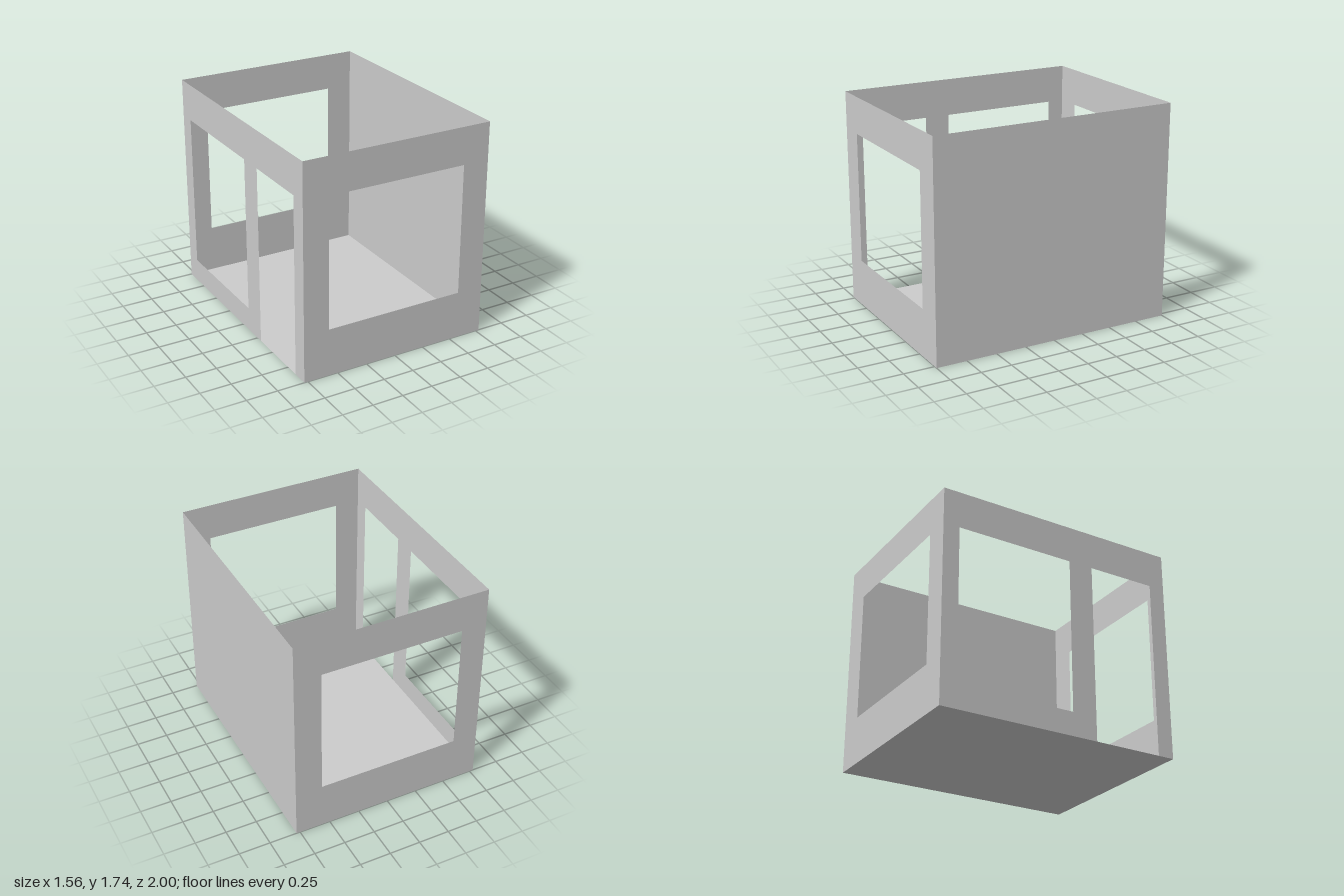
import * as THREE from 'three';

const W = 0.78, D = 1, H = 1.74; // half width, half depth, height
const HEAD = 1.44;               // top of all openings

const material = new THREE.MeshStandardMaterial({ color: 0xcccccc, side: THREE.DoubleSide });

const polygon = (points) => points.map(([x, y]) => new THREE.Vector2(x, y));
const rect = (x0, y0, x1, y1) => [[x0, y0], [x1, y0], [x1, y1], [x0, y1]];

// Flat sheet cut from an outline, with optional openings
function panel(name, outline, openings = []) {
  const shape = new THREE.Shape(polygon(outline));
  for (const o of openings) shape.holes.push(new THREE.Path(polygon(o)));
  const mesh = new THREE.Mesh(new THREE.ShapeGeometry(shape), material);
  mesh.name = name;
  return mesh;
}

export function createModel() {
  const room = new THREE.Group();
  room.name = 'room';

  // Floor sheet; the room has no ceiling
  const floor = panel('floor', rect(-W, -D, W, D));
  floor.rotation.x = Math.PI / 2;

  // Front and back walls, each with one wide window
  const front = panel('frontWall', rect(-W, 0, W, H), [rect(-0.575, 0.385, 0.565, HEAD)]);
  front.position.z = D;
  const back = panel('backWall', rect(-W, 0, W, H), [rect(-0.565, 0.385, 0.575, HEAD)]);
  back.position.z = -D;
  back.rotation.y = Math.PI;

  // Solid wall on the left
  const left = panel('leftWall', rect(-D, 0, D, H));
  left.position.x = W;
  left.rotation.y = Math.PI / 2;

  // Wall on the right: a doorway notched up from the floor, and a window
  const right = panel('doorWall',
    [[-D, 0], [0.305, 0], [0.305, HEAD], [0.866, HEAD], [0.866, 0], [D, 0], [D, H], [-D, H]],
    [rect(-0.866, 0.19, 0.1, HEAD)]);
  right.position.x = -W;
  right.rotation.y = -Math.PI / 2;

  room.add(floor, front, back, left, right);
  return room;
}
